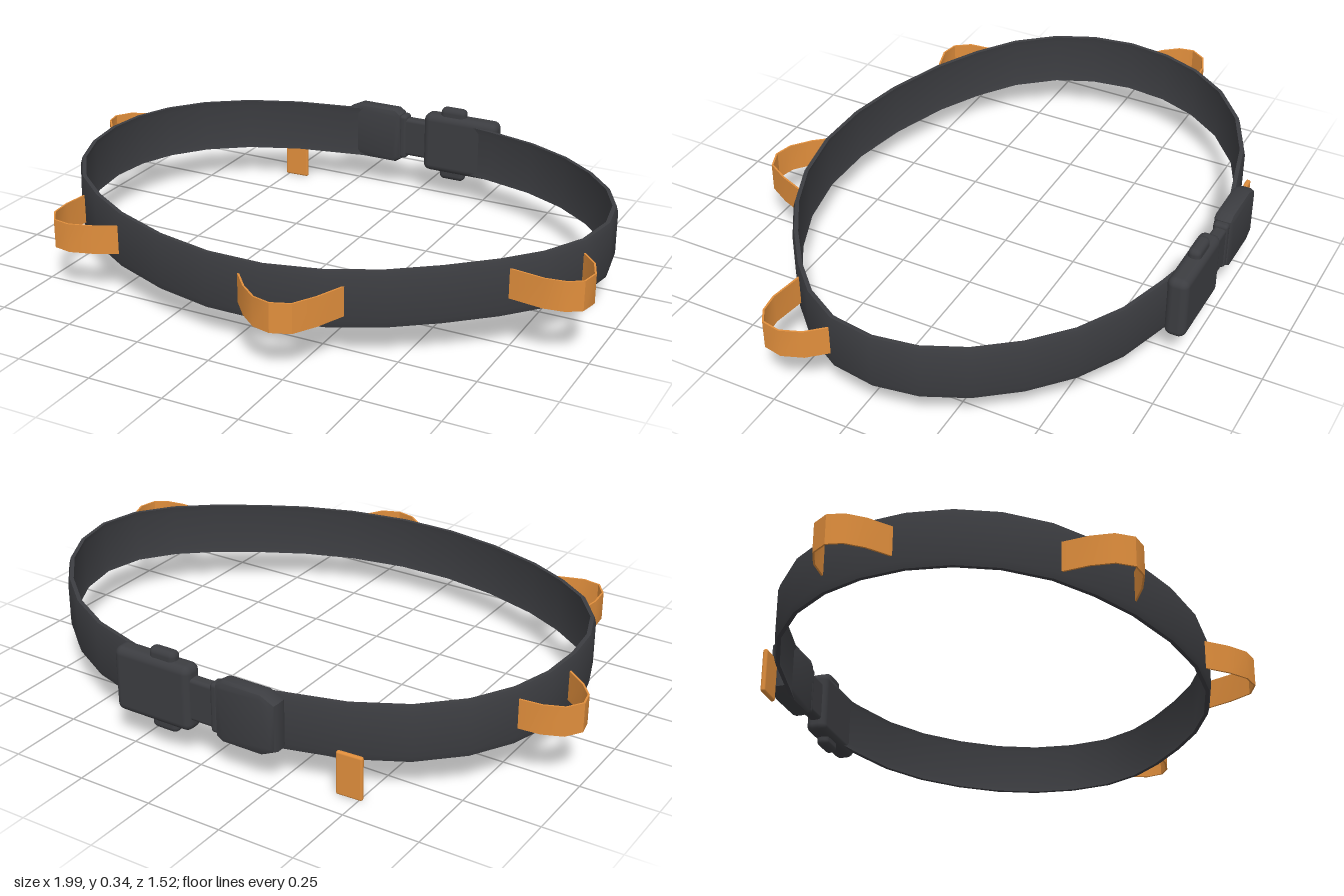
import * as THREE from 'three';
import { toCreasedNormals } from 'three/addons/utils/BufferGeometryUtils.js';
import { RoundedBoxGeometry } from 'three/addons/geometries/RoundedBoxGeometry.js';

const webbing = new THREE.MeshStandardMaterial({ color: 0x3c3d41, side: THREE.DoubleSide });
const plastic = new THREE.MeshStandardMaterial({ color: 0x3c3d41 });
const orange = new THREE.MeshStandardMaterial({ color: 0xe08e3c, side: THREE.DoubleSide });

// Sweep a section of [outward, up] points along a path of [x, z] points
function ribbon(path, section, heightAt) {
  const pos = [], idx = [], n = section.length, last = path.length - 1;
  path.forEach(([x, z], i) => {
    const a = path[Math.max(i - 1, 0)], b = path[Math.min(i + 1, last)];
    const t = new THREE.Vector2(b[0] - a[0], b[1] - a[1]).normalize();
    for (const [out, up] of section) pos.push(x - t.y * out, heightAt(z) + up, z + t.x * out);
  });
  for (let i = 0; i < last; i++) {
    for (let j = 0; j < n; j++) {
      const k = (j + 1) % n, a = i * n, b = a + n;
      idx.push(a + j, b + j, b + k, a + j, b + k, a + k);
    }
  }
  for (let j = 1; j < n - 1; j++) {
    idx.push(0, j, j + 1, last * n, last * n + j + 1, last * n + j);
  }
  const geo = new THREE.BufferGeometry();
  geo.setAttribute('position', new THREE.Float32BufferAttribute(pos, 3));
  geo.setIndex(idx);
  return toCreasedNormals(geo, 0.6);
}

function add(group, name, geo, material, x = 0, y = 0, z = 0) {
  const mesh = new THREE.Mesh(geo, material);
  mesh.name = name;
  mesh.position.set(x, y, z);
  group.add(mesh);
  return mesh;
}

// Bevelled plate lying in the xy plane, centred on z
function plate(points, depth, bevel) {
  const shape = new THREE.Shape(points.map(([x, y]) => new THREE.Vector2(x, y)));
  const geo = new THREE.ExtrudeGeometry(shape, {
    depth: depth - 2 * bevel, bevelSize: bevel, bevelOffset: -bevel,
    bevelThickness: bevel, bevelSegments: 2,
  });
  geo.translate(0, 0, bevel - depth / 2);
  return toCreasedNormals(geo, 0.6);
}

export function createModel() {
  const model = new THREE.Group();
  model.name = 'belt';

  // Strap: open at the back, where the buckle joins its ends; sags front and back
  const strapPath = [
    [-0.2, -0.708], [-0.27, -0.69], [-0.45, -0.645], [-0.615, -0.565], [-0.74, -0.455],
    [-0.82, -0.33], [-0.862, -0.2], [-0.873, -0.06], [-0.857, 0.08], [-0.81, 0.21],
    [-0.72, 0.335], [-0.6, 0.43], [-0.46, 0.51], [-0.27, 0.58], [-0.08, 0.617],
    [0.11, 0.617], [0.3, 0.575], [0.46, 0.505], [0.6, 0.415], [0.735, 0.31],
    [0.835, 0.21], [0.91, 0.085], [0.935, -0.06], [0.91, -0.2], [0.845, -0.33],
    [0.745, -0.45], [0.62, -0.555], [0.47, -0.635], [0.3, -0.685], [0.2, -0.708],
  ];
  const strapHeight = (z) => {
    const d = z + 0.05;
    return 0.228 - (d > 0 ? 0.038 : 0.026) * Math.pow(Math.abs(d) / 0.67, 1.5);
  };
  const strapSection = [
    [-0.01, -0.091], [0.003, -0.091], [0.009, -0.07], [0.009, 0.07],
    [0.003, 0.091], [-0.01, 0.091], [-0.006, 0.07], [-0.006, -0.07],
  ];
  add(model, 'strap', ribbon(strapPath, strapSection, strapHeight), webbing);

  // Four webbing loops standing out from the strap
  const loops = {
    frontLoop: [0.192, [[0.03, 0.62], [0.09, 0.69], [0.15, 0.738], [0.21, 0.752],
      [0.27, 0.728], [0.312, 0.655], [0.35, 0.56]]],
    frontRightLoop: [0.197, [[-0.46, 0.51], [-0.54, 0.55], [-0.615, 0.573], [-0.673, 0.563],
      [-0.709, 0.513], [-0.716, 0.44], [-0.705, 0.35]]],
    rightLoop: [0.23, [[-0.83, -0.33], [-0.9, -0.325], [-0.962, -0.3], [-0.995, -0.25],
      [-0.985, -0.2], [-0.945, -0.15], [-0.875, -0.095]]],
    leftLoop: [0.228, [[0.91, 0.09], [0.965, 0.15], [0.99, 0.215], [0.978, 0.275],
      [0.935, 0.303], [0.87, 0.312], [0.75, 0.295]]],
  };
  const loopSection = [[-0.003, -0.048], [0.003, -0.048], [0.003, 0.048], [-0.003, 0.048]];
  for (const [name, [y, path]] of Object.entries(loops)) {
    add(model, name, ribbon(path, loopSection, () => y), orange);
  }

  // Tab hanging below the strap at the back
  const tab = add(model, 'hangingTab', new RoundedBoxGeometry(0.088, 0.145, 0.016, 2, 0.007),
    orange, -0.467, 0.0725, -0.66);
  tab.rotation.y = 0.05;

  // Side-release buckle
  const buckle = new THREE.Group();
  buckle.name = 'buckle';
  buckle.position.set(0, 0.207, -0.726);
  model.add(buckle);
  add(buckle, 'buckleSocket', new RoundedBoxGeometry(0.28, 0.216, 0.07, 3, 0.025), plastic, 0.17);
  add(buckle, 'releaseButtons', new RoundedBoxGeometry(0.095, 0.272, 0.042, 3, 0.018), plastic, 0.138);
  add(buckle, 'buckleTongue', new RoundedBoxGeometry(0.13, 0.14, 0.042, 2, 0.012), plastic, -0.015);
  add(buckle, 'tongueCollar', new RoundedBoxGeometry(0.03, 0.165, 0.05, 2, 0.012), plastic, -0.055);
  add(buckle, 'buckleClip', plate([
    [-0.275, -0.078], [-0.225, -0.102], [-0.085, -0.102], [-0.06, -0.085],
    [-0.06, 0.085], [-0.085, 0.102], [-0.225, 0.102], [-0.275, 0.078],
  ], 0.064, 0.018), plastic);

  return model;
}
